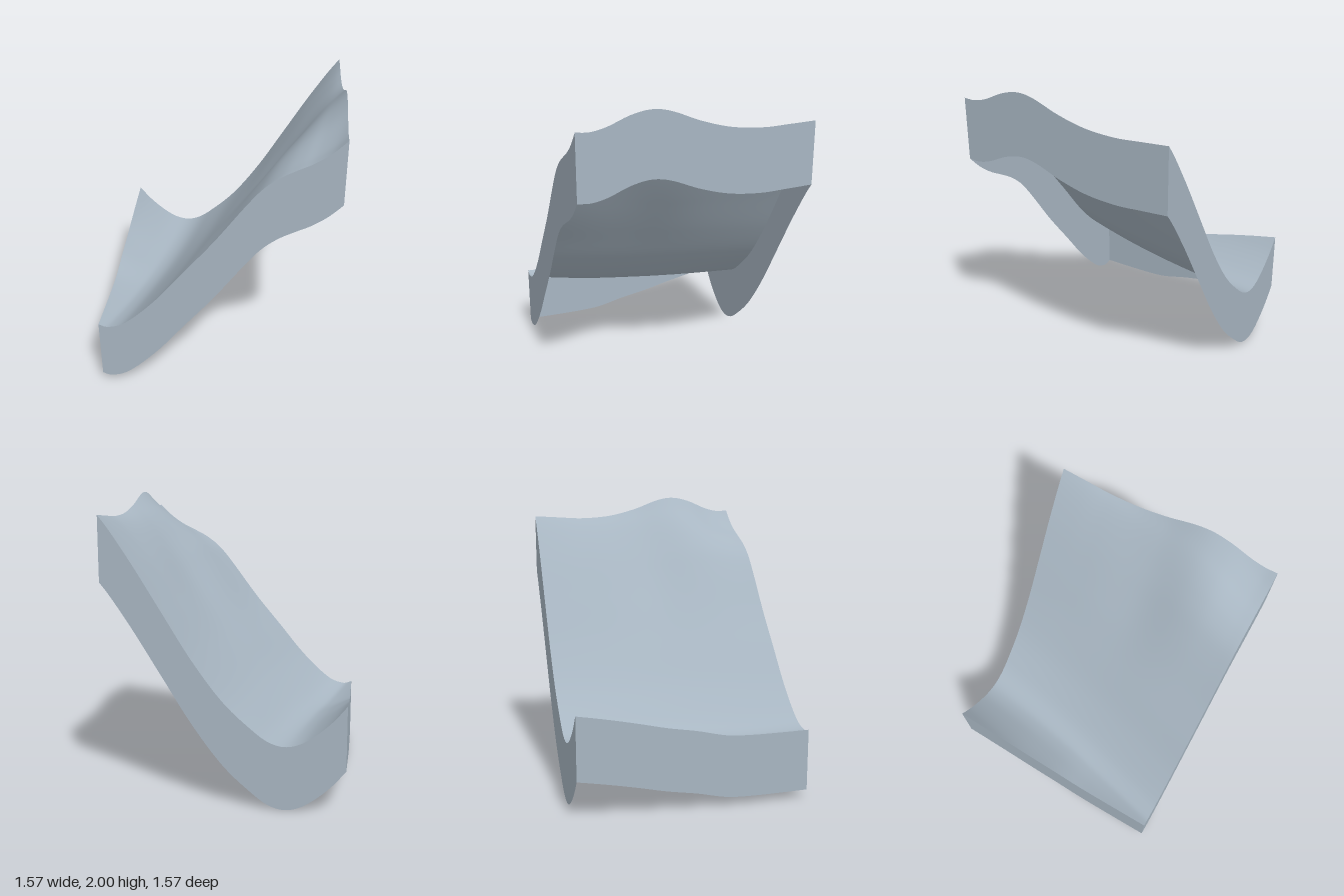
import * as THREE from 'three';

const HALF = 0.785, SKIRT = 0.42, N = 80;

// Smooth curve through [position, value] points (uneven Catmull-Rom)
function curve(pts) {
  const slope = (i) => {
    const a = pts[Math.max(i - 1, 0)], b = pts[Math.min(i + 1, pts.length - 1)];
    return (b[1] - a[1]) / (b[0] - a[0]);
  };
  return (x) => {
    let i = 0;
    while (i < pts.length - 2 && x > pts[i + 1][0]) i++;
    const [x0, y0] = pts[i], [x1, y1] = pts[i + 1];
    const d = x1 - x0, t = THREE.MathUtils.clamp((x - x0) / d, 0, 1);
    const t2 = t * t, t3 = t2 * t;
    return y0 * (2 * t3 - 3 * t2 + 1) + y1 * (3 * t2 - 2 * t3)
      + d * (slope(i) * (t3 - 2 * t2 + t) + slope(i + 1) * (t3 - t2));
  };
}

// Height along the four edges; front and back run on past the sheet for blending
const frontEdge = curve([[-1.1, 0.7], [-1, 0.61], [-0.9, 0.54], [-0.785, 0.478], [-0.72, 0.46], [-0.6, 0.505],
  [-0.4, 0.69], [-0.2, 0.93], [0, 1.172], [0.2, 1.44], [0.3, 1.56], [0.4, 1.64], [0.5, 1.695],
  [0.6, 1.745], [0.7, 1.815], [0.785, 1.897]]);
const backEdge = curve([[-0.785, 0.7], [-0.7, 0.6], [-0.6, 0.51], [-0.5, 0.445], [-0.4, 0.42], [-0.3, 0.443],
  [-0.2, 0.51], [0, 0.695], [0.2, 0.96], [0.4, 1.28], [0.6, 1.6], [0.785, 1.86], [0.9, 1.95], [1.15, 2.08]]);
const leftEdge = curve([[-0.785, 0.7], [-0.6, 0.665], [-0.4, 0.622], [-0.2, 0.575], [0, 0.538],
  [0.2, 0.492], [0.35, 0.48], [0.6, 0.477], [0.785, 0.478]]);
const rightEdge = curve([[-0.785, 1.86], [-0.6, 1.85], [-0.42, 1.842], [-0.2, 1.86], [0, 1.91],
  [0.2, 1.983], [0.32, 2], [0.45, 1.975], [0.6, 1.915], [0.7, 1.893], [0.785, 1.897]]);

const bell = (d, width) => Math.exp(-((d / width) ** 2));

// Blend front and back profiles along the curved valley line, with two soft hollows
function blended(x, z) {
  const t = (z + HALF) / (2 * HALF), inner = Math.sin(Math.PI * t);
  const u = x - THREE.MathUtils.lerp(-0.4, -0.72, t) - 0.033 * inner;
  return THREE.MathUtils.lerp(backEdge(u - 0.4), frontEdge(u - 0.72), t)
    - inner * (0.018 * bell(u - 0.05, 0.22) + 0.08 * bell(x - 0.46, 0.27) * bell(z - 0.12, 0.33));
}

// Full height: blended profile corrected to meet the side edges
function height(x, z) {
  const s = (x + HALF) / (2 * HALF);
  return blended(x, z)
    + (leftEdge(z) - blended(-HALF, z)) * Math.max(0, 1 - s * 4) ** 2
    + (rightEdge(z) - blended(HALF, z)) * s ** 4;
}

// Vertical wall hanging below one edge of the sheet
function skirt(from, to) {
  const pos = [], index = [];
  for (let i = 0; i <= N; i++) {
    const x = THREE.MathUtils.lerp(from[0], to[0], i / N);
    const z = THREE.MathUtils.lerp(from[1], to[1], i / N);
    const y = height(x, z);
    pos.push(x, y - SKIRT, z, x, y, z);
    if (i < N) {
      const a = i * 2;
      index.push(a, a + 2, a + 3, a, a + 3, a + 1);
    }
  }
  const geo = new THREE.BufferGeometry();
  geo.setAttribute('position', new THREE.Float32BufferAttribute(pos, 3));
  geo.setIndex(index);
  geo.computeVertexNormals();
  return geo;
}

export function createModel() {
  const group = new THREE.Group();
  group.name = 'terrainTile';
  const slate = new THREE.MeshStandardMaterial({ color: 0xa8b6c2, side: THREE.DoubleSide });
  slate.name = 'slate grey';
  const add = (name, geo) => {
    const mesh = new THREE.Mesh(geo, slate);
    mesh.name = name;
    group.add(mesh);
  };

  // Rolling ground sheet, open underneath
  const ground = new THREE.PlaneGeometry(2 * HALF, 2 * HALF, N, N).rotateX(-Math.PI / 2);
  const p = ground.attributes.position;
  for (let i = 0; i < p.count; i++) p.setY(i, height(p.getX(i), p.getZ(i)));
  ground.computeVertexNormals();
  add('groundSurface', ground);

  // Four side walls, following the edges
  const c = [[-HALF, HALF], [HALF, HALF], [HALF, -HALF], [-HALF, -HALF]];
  ['frontWall', 'highEndWall', 'backWall', 'lowEndWall'].forEach((name, i) => {
    add(name, skirt(c[i], c[(i + 1) % 4]));
  });
  return group;
}
